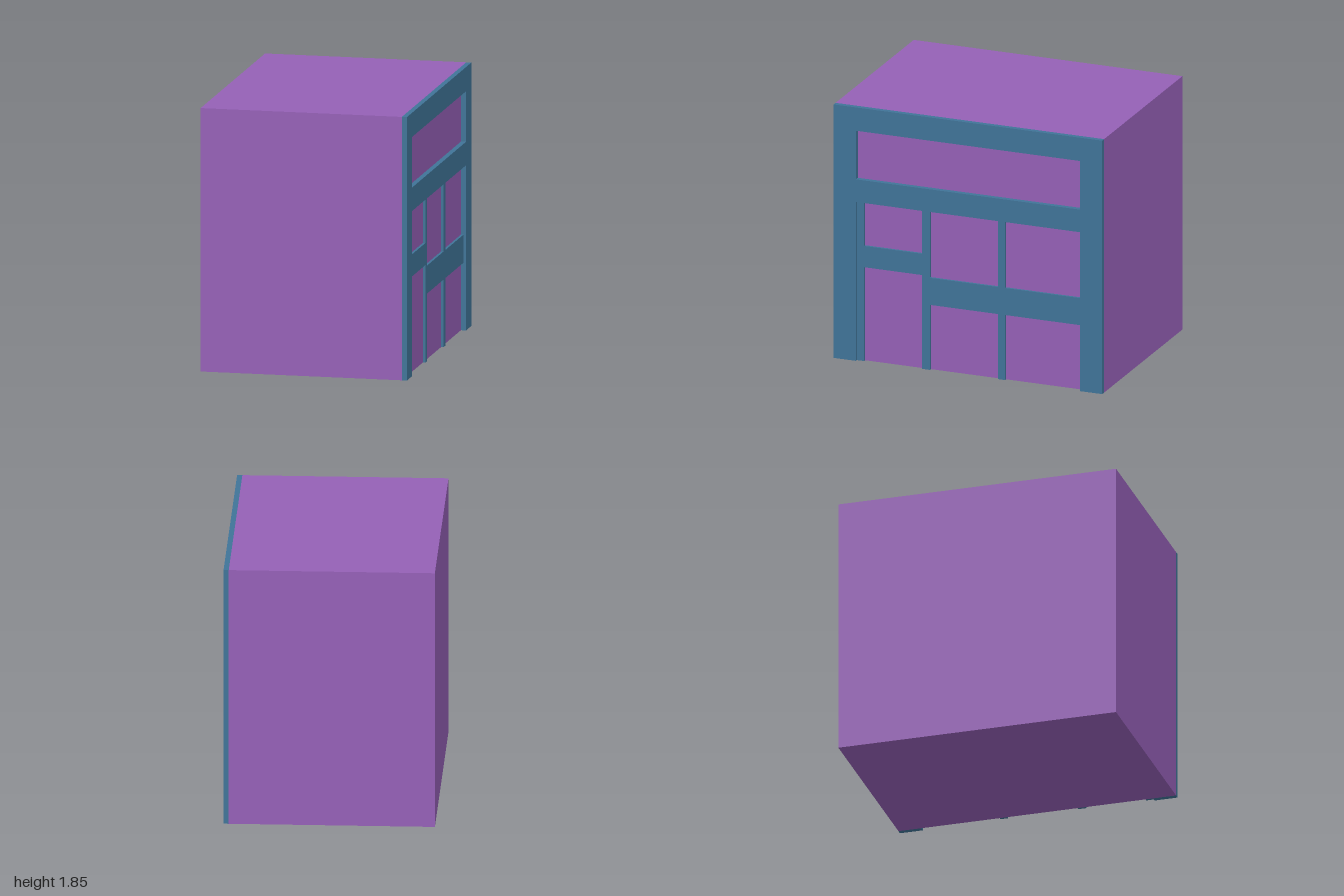
import * as THREE from 'three';

const H = 1.85, WALL = 0.692, FACE = 0.728, BAR = 0.71;

// Facade panels are drawn as seen from the +x side: u runs to -z, v runs up.
function panel(name, points, holes, outerX, material) {
  const shape = new THREE.Shape(points.map(([u, v]) => new THREE.Vector2(u, v)));
  for (const [u0, u1, v0, v1] of holes) {
    shape.holes.push(new THREE.Path([[u0, v0], [u0, v1], [u1, v1], [u1, v0]]
      .map(([u, v]) => new THREE.Vector2(u, v))));
  }
  const geo = new THREE.ExtrudeGeometry(shape, { depth: outerX - WALL, bevelEnabled: false });
  geo.rotateY(Math.PI / 2).translate(WALL, 0, 0);
  const mesh = new THREE.Mesh(geo, material);
  mesh.name = name;
  return mesh;
}

export function createModel() {
  const group = new THREE.Group();
  group.name = 'shopBuilding';
  const purple = new THREE.MeshStandardMaterial({ color: 0x9560b6 });
  const blue = new THREE.MeshStandardMaterial({ color: 0x407498 });

  // Main block
  const body = new THREE.Mesh(new THREE.BoxGeometry(WALL + 0.73, H, 2), purple);
  body.position.set((WALL - 0.73) / 2, H / 2, 0);
  body.name = 'buildingBody';
  group.add(body);

  // Outer frame: sign recess above, shopfront opening down to the ground
  group.add(panel('facadeFrame', [
    [-1, 0], [-0.835, 0], [-0.835, 1.16], [0.835, 1.16], [0.835, 0], [1, 0], [1, H], [-1, H],
  ], [[-0.835, 0.835, 1.325, 1.68]], FACE, blue));

  // Set-back posts and transoms: door bay on one side, two window bays beside it
  group.add(panel('shopfrontBars', [
    [-0.835, 0], [-0.78, 0], [-0.78, 0.685], [-0.35, 0.685], [-0.35, 0],
    [-0.29, 0], [-0.29, 0.475], [0.215, 0.475], [0.215, 0],
    [0.27, 0], [0.27, 0.475], [0.835, 0.475], [0.835, 0.672],
    [0.27, 0.672], [0.27, 1.16], [0.215, 1.16], [0.215, 0.672],
    [-0.29, 0.672], [-0.29, 1.16], [-0.35, 1.16], [-0.35, 0.84],
    [-0.78, 0.84], [-0.78, 1.16], [-0.835, 1.16],
  ], [], BAR, blue));

  return group;
}
